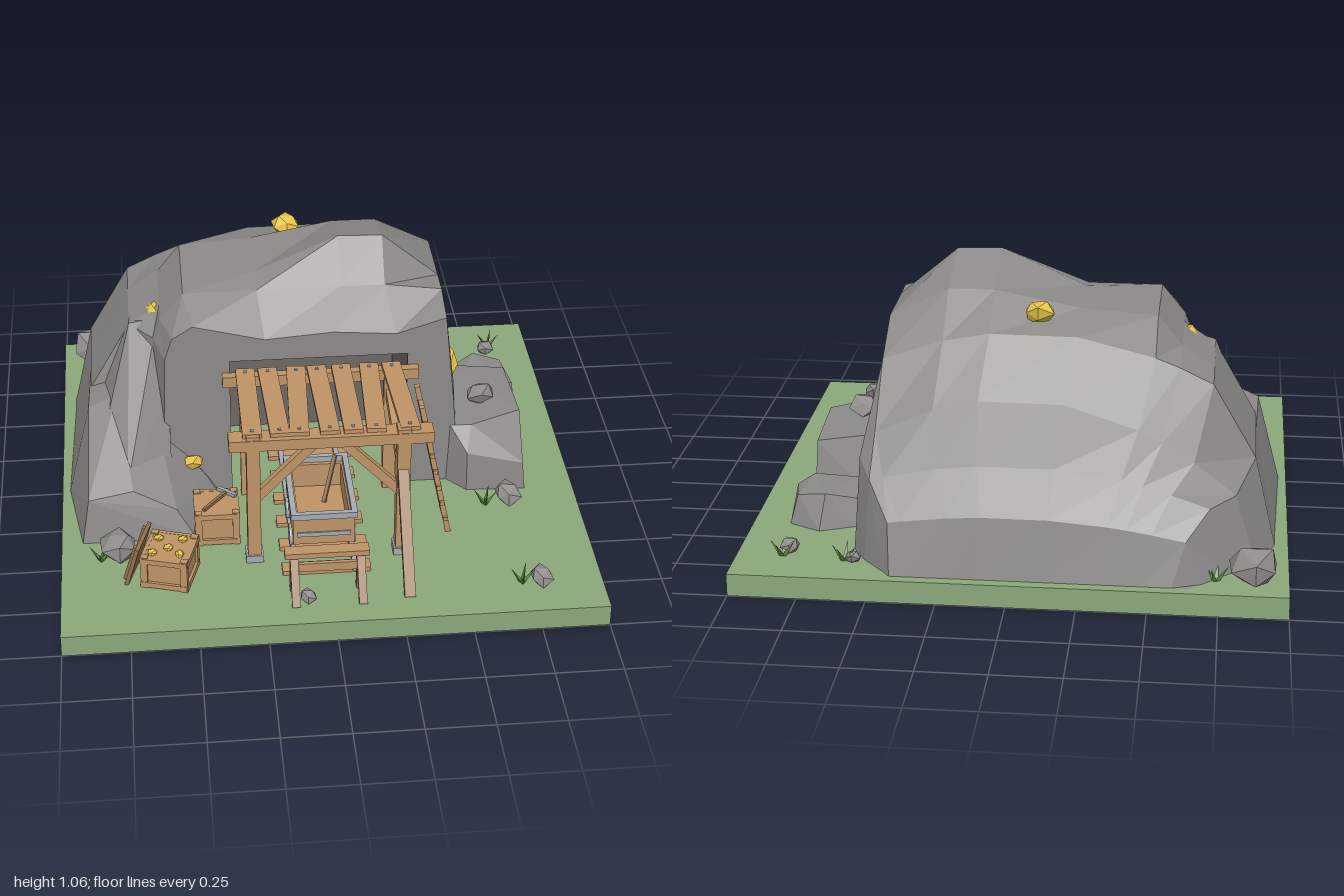
import * as THREE from 'three';
import { ConvexGeometry } from 'three/addons/geometries/ConvexGeometry.js';

const mat = (color, extra = {}) => new THREE.MeshStandardMaterial({ color, flatShading: true, ...extra });
const G = 0.085; // ground level

export function createModel() {
  const root = new THREE.Group();
  const stone = mat(0x8c8b89), dark = mat(0x6b6765, { side: THREE.DoubleSide });
  const wood = mat(0xbf9467), darkWood = mat(0x94704c), metal = mat(0xa3abb0);
  const gold = mat(0xe6c548), grass = mat(0x8ba87a), leaf = mat(0x5a8a3c);

  const add = (name, geo, material, parent = root) => {
    const m = new THREE.Mesh(geo, material);
    m.name = name;
    parent.add(m);
    return m;
  };
  const group = name => {
    const g = new THREE.Group();
    g.name = name;
    root.add(g);
    return g;
  };
  const box = (name, [x, y, z], [w, h, d], material, parent) => {
    const m = add(name, new THREE.BoxGeometry(w, h, d), material, parent);
    m.position.set(x, y, z);
    return m;
  };
  // Timber running from a to b, aimed in its parent's own frame
  const beam = (name, a, b, w, h, material, parent) => {
    const p = new THREE.Vector3(...a), q = new THREE.Vector3(...b);
    const m = add(name, new THREE.BoxGeometry(w, h, p.distanceTo(q)), material, parent);
    m.position.copy(p).lerp(q, 0.5);
    m.quaternion.setFromRotationMatrix(new THREE.Matrix4().lookAt(q, p, m.up));
  };
  const hull = (name, pts) => add(name, new ConvexGeometry(pts.map(p => new THREE.Vector3(...p))), stone);
  // Faceted lump, its corners pushed in and out by a position rule
  const lump = (name, [x, y, z], [sx, sy, sz], material, parent) => {
    const geo = new THREE.IcosahedronGeometry(1, 0), p = geo.attributes.position, v = new THREE.Vector3();
    for (let i = 0; i < p.count; i++) {
      v.fromBufferAttribute(p, i);
      v.multiplyScalar(0.95 + 0.16 * Math.sin(v.x * 5 + v.y * 9 + v.z * 13 + x * 7 + z * 11));
      p.setXYZ(i, v.x * sx, v.y * sy, v.z * sz);
    }
    geo.computeVertexNormals();
    add(name, geo, material, parent).position.set(x, y, z);
  };
  // Skin between arch sections { z, pts: [[x, y], ...] } going from front to back
  const loft = sections => {
    const pos = [], pt = (i, j) => [...sections[i].pts[j], sections[i].z];
    for (let i = 0; i < sections.length - 1; i++)
      for (let j = 0; j < sections[0].pts.length - 1; j++) {
        const a = pt(i, j), b = pt(i, j + 1), c = pt(i + 1, j + 1), d = pt(i + 1, j);
        pos.push(...a, ...b, ...c, ...a, ...c, ...d);
      }
    const geo = new THREE.BufferGeometry();
    geo.setAttribute('position', new THREE.Float32BufferAttribute(pos, 3));
    geo.computeVertexNormals();
    return geo;
  };

  box('ground', [0, G / 2, 0], [2, G, 2], grass);

  // Mountain: the ridge profile, cut off by a domed height limit and narrowed toward the back
  const front = [[-.6, G], [-.59, .45], [-.58, .7], [-.55, .79], [-.47, .84], [-.2, .77], [.06, .79], [.3, .77], [.49, .83], [.53, .45], [.56, G]];
  const ridge = [[-.95, G], [-.87, .43], [-.71, .71], [-.59, .79], [-.5, .9], [-.22, .92], [.1, 1.06], [.27, 1.055], [.49, .87], [.55, .45], [.58, G]];
  const slice = (z, top, scale, shift, dome = 0, left = -1) => ({
    z, pts: ridge.map(([x, y]) => [Math.max(x, left) * scale + shift, Math.max(G, Math.min(y, top - dome * (x + .05) ** 2))]),
  });
  add('mountain', loft([
    { z: .15, pts: front },
    slice(0, .9, 1, 0, 0, -.62),
    slice(-.11, 1.06, 1, 0),
    slice(-.38, .98, 1, 0),
    slice(-.56, .88, 1, 0, .4),
    slice(-.74, .69, .954, .027, .5),
    slice(-.83, .47, .856, .033, .2),
    slice(-.92, .31, .745, .018, .1),
    slice(-.96, G, .693, .018),
  ]), stone);
  // Front wall with the tunnel cut out
  const arch = top => [[-.335, G], [-.335, top], [.345, top], [.345, G]];
  const wall = new THREE.Shape([...front, ...arch(.68).reverse()].map(p => new THREE.Vector2(...p)));
  add('mountainFront', new THREE.ShapeGeometry(wall), stone).position.z = .15;
  add('tunnel', loft([{ z: .15, pts: arch(.68) }, { z: -.3, pts: arch(.65) }]), dark);
  add('tunnelBack', new THREE.PlaneGeometry(.68, .565), dark).position.set(.005, .3675, -.3);

  // Side outcrops
  hull('leftOutcrop', [[-.97, G, .1], [-.92, G, .45], [-.49, G, .45], [-.38, G, .2], [-.4, G, .1], [-.89, .26, .42], [-.72, .28, .4],
    [-.56, .2, .42], [-.44, .18, .17], [-.88, .44, .05], [-.77, .49, .05], [-.95, G, -.5], [-.87, .42, -.3], [-.62, .4, .1]]);
  hull('leftShoulder', [[-.8, .45, .1], [-.71, .72, -.1], [-.6, .75, -.08], [-.57, .5, .08], [-.57, .3, .22], [-.74, .28, .36],
    [-.85, .42, -.3], [-.7, .7, -.3], [-.57, .5, -.2]]);
  hull('rightOutcrop', [[.51, G, .15], [.58, G, .23], [.81, G, .24], [.81, G, -.31], [.57, G, -.32], [.8, .2, .23], [.58, .25, .22],
    [.52, .34, .15], [.6, .345, .16], [.81, .33, .05], [.8, .32, -.28], [.58, .35, -.27]]);
  hull('backRightOutcrop', [[.58, G, -.33], [.8, G, -.31], [.87, G, -.36], [.86, G, -.54], [.74, G, -.6], [.6, G, -.54],
    [.62, .2, -.34], [.8, .21, -.34], [.86, .18, -.38], [.83, .2, -.53], [.72, .22, -.56], [.6, .18, -.5]]);

  // Loose stones and gold
  [[-.88, .14, -.88, .1], [-.78, .13, .53, .08], [.73, .11, .3, .06], [.77, .11, .83, .05], [.81, .105, -.78, .04],
    [.57, .1, -.84, .035], [-.1, .1, .86, .035], [.66, .37, -.02, .06]]
    .forEach(([x, y, z, r]) => lump('looseStone', [x, y, z], [r, r * .8, r], stone));
  [[.57, .4, -.23, .035, .06, .07], [-.07, .93, -.46, .065, .05, .055], [-.6, .755, -.13, .045, .04, .055], [-.49, .24, .17, .045, .035, .04]]
    .forEach(([x, y, z, ...s]) => lump('goldNugget', [x, y, z], s, gold));

  // Grass tufts
  [[-.74, -.88], [.83, -.82], [.6, -.84], [-.85, .56], [.64, .33], [.7, .83]].forEach(([x, z]) => {
    const tuft = group('grassTuft');
    tuft.position.set(x, G, z);
    for (let k = 0; k < 4; k++) {
      const blade = add('grassBlade', new THREE.ConeGeometry(.01, .075, 3), leaf, tuft);
      blade.position.set(Math.cos(k * 1.7) * .025, .03, Math.sin(k * 1.7) * .025);
      blade.rotation.set(Math.sin(k * 1.7) * .6, 0, -Math.cos(k * 1.7) * .6);
    }
  });

  // Timber canopy at the entrance
  const canopy = group('canopy');
  for (const s of [-1, 1]) {
    const x = s * .277;
    box('frontPost', [x, .365, .59], [.05, .56, .055], wood, canopy);
    box('postFoot', [x, .1, .59], [.065, .03, .07], metal, canopy);
    box('backPost', [x, .365, .17], [.05, .56, .035], wood, canopy);
    beam('sideBrace', [x, .44, .58], [x, .53, .16], .035, .04, wood, canopy);
    beam('frontBrace', [s * .265, .365, .59], [s * .055, .59, .59], .03, .035, wood, canopy);
  }
  box('frontBeam', [.01, .608, .585], [.75, .045, .07], wood, canopy);
  box('backBeam', [.01, .608, .168], [.75, .045, .035], wood, canopy);
  [-.278, -.185, -.095, 0, .09, .185, .29].forEach((x, i) => {
    const plank = box('roofPlank', [x, .638, .375], [.072, .018, .45], wood, canopy);
    plank.rotation.y = .05 * Math.sin(i * 2.3);
    for (const z of [-.2, .2]) box('nail', [0, .01, z], [.012, .005, .012], metal, plank);
  });
  beam('prop', [.275, G, .88], [.275, .47, .6], .04, .03, darkWood, canopy);

  // Ladder leaning on the canopy
  const ladder = group('ladder');
  const ladderX = y => .47 - (y - G) * .2;
  for (const z of [.34, .485]) beam('ladderRail', [ladderX(G), G, z], [ladderX(.655), .655, z], .022, .02, wood, ladder);
  for (let i = 0; i < 7; i++) {
    const y = .15 + i * .073;
    beam('ladderRung', [ladderX(y), y, .32], [ladderX(y), y, .505], .018, .018, wood, ladder);
  }

  // Track with end stop
  const track = group('track');
  for (let z = .685; z > -.2; z -= .15) box('sleeper', [-.015, .094, z], [.33, .018, .055], wood, track);
  for (const x of [-.13, .09]) box('rail', [x, .112, .22], [.02, .022, 1.02], metal, track);
  for (const x of [-.145, .1]) {
    box('stopPost', [x, .175, .795], [.03, .18, .03], darkWood, track);
    beam('stopStrut', [x, G, .905], [x, .23, .8], .03, .025, darkWood, track);
  }
  box('stopBeam', [-.025, .255, .8], [.31, .022, .05], wood, track);
  box('stopBoard', [-.025, .2, .815], [.27, .035, .015], wood, track);

  // Ore cart
  const cart = group('oreCart');
  box('cartFloor', [-.02, .185, .465], [.2, .02, .34], wood, cart);
  for (const s of [-1, 1]) {
    box('cartSide', [-.02 + s * .105, .235, .465], [.02, .12, .36], wood, cart);
    box('cartEnd', [-.02, .235, .465 + s * .17], [.2, .12, .02], wood, cart);
    box('cartSideRim', [-.02 + s * .113, .307, .465], [.022, .025, .39], metal, cart);
    box('cartEndRim', [-.02, .307, .465 + s * .185], [.24, .025, .02], metal, cart);
    box('cartBand', [-.02, .22, .465 + s * .182], [.2, .018, .006], metal, cart);
    const axle = add('axle', new THREE.CylinderGeometry(.012, .012, .25, 8), metal, cart);
    axle.position.set(-.02, .16, .475 + s * .085);
    axle.rotation.z = Math.PI / 2;
    for (const t of [-1, 1]) {
      const wheel = add('wheel', new THREE.CylinderGeometry(.04, .04, .02, 12), metal, cart);
      wheel.position.set(-.02 + t * .115, .16, .475 + s * .085);
      wheel.rotation.z = Math.PI / 2;
    }
  }
  beam('shovelHandle', [0, .2, .42], [.05, .36, .34], .014, .014, darkWood, cart);

  // Crates
  const crate = (name, x, z, w, d, h, turn) => {
    const g = group(name);
    g.position.set(x, G, z);
    g.rotation.y = turn;
    box('crateBody', [0, h / 2, 0], [w - .015, h - .01, d - .015], wood, g);
    for (const s of [-1, 1]) {
      for (const t of [-1, 1]) box('cratePost', [s * (w / 2 - .012), h / 2, t * (d / 2 - .012)], [.026, h, .026], wood, g);
      for (const y of [.015, h - .015]) {
        box('crateSlat', [0, y, s * (d / 2 - .004)], [w, .022, .014], wood, g);
        box('crateSlat', [s * (w / 2 - .004), y, 0], [.014, .022, d], wood, g);
      }
    }
    return g;
  };
  const toolCrate = crate('toolCrate', -.41, .42, .165, .165, .145, 0);
  beam('pickHandle', [-.05, .15, .06], [.05, .15, -.06], .012, .012, darkWood, toolCrate);
  beam('pickHead', [.01, .152, -.075], [.075, .152, -.02], .014, .014, metal, toolCrate);
  const goldCrate = crate('goldCrate', -.595, .672, .175, .18, .135, -.29);
  [[-.05, -.04], [.04, -.05], [0, .01], [-.05, .05], [.05, .04]]
    .forEach(([x, z]) => lump('crateGold', [x, .136, z], [.02, .015, .02], gold, goldCrate));
  beam('crateLid', [-.145, 0, 0], [-.098, .165, 0], .18, .015, darkWood, goldCrate);
  for (const z of [-.06, .06]) beam('lidBatten', [-.157, .01, z], [-.112, .16, z], .02, .012, darkWood, goldCrate);
  return root;
}
